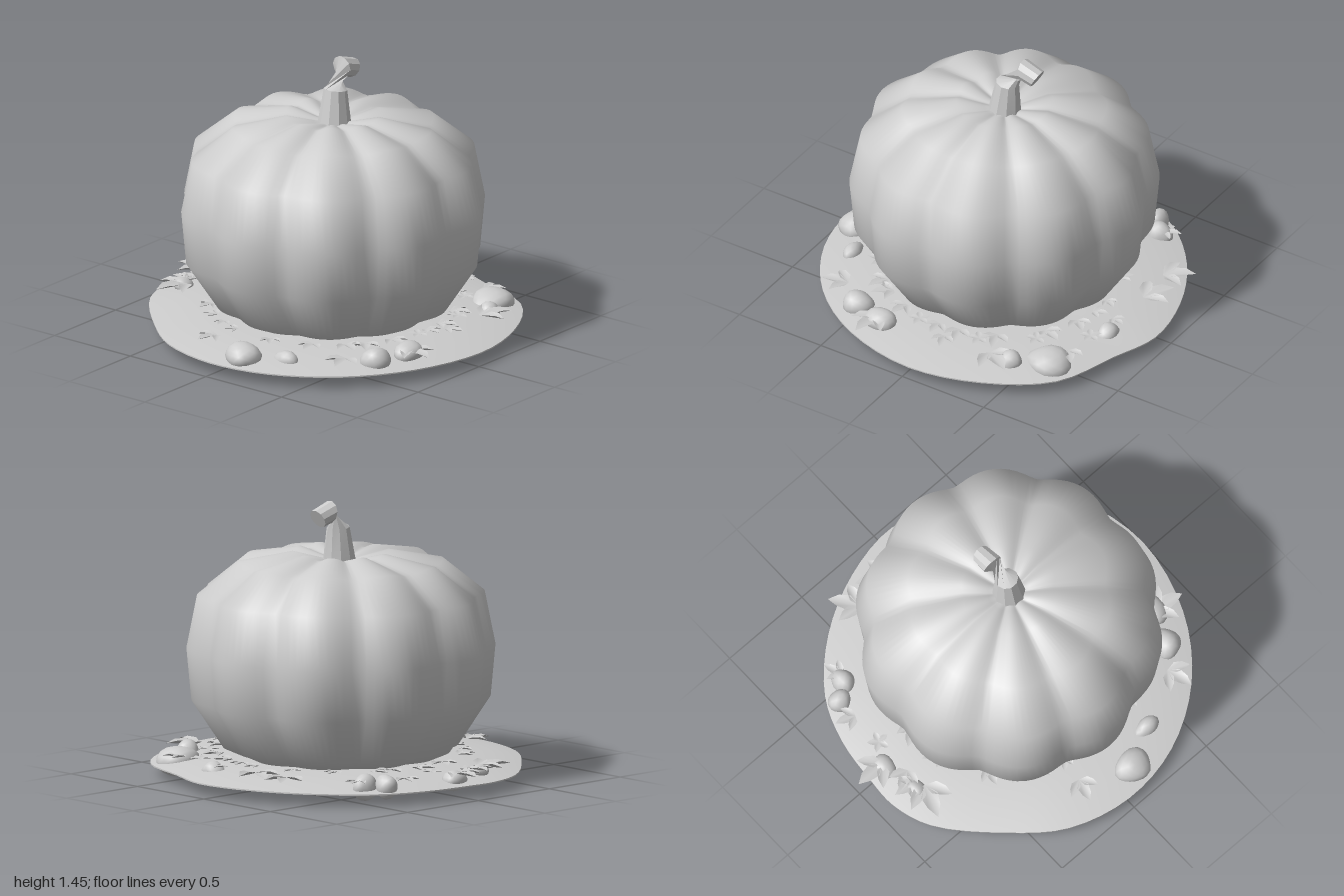
import * as THREE from 'three';
import { mergeVertices, toCreasedNormals } from 'three/addons/utils/BufferGeometryUtils.js';

const V = (x, y, z) => new THREE.Vector3(x, y, z);

// weld a geometry and give it smooth normals
function smooth(geo) {
  geo.deleteAttribute('normal');
  geo.deleteAttribute('uv');
  const g = mergeVertices(geo, 1e-4);
  g.computeVertexNormals();
  return g;
}

// skin closed rings (each running from +z towards +x) stacked upwards
function loft(rings) {
  const n = rings[0].length, pos = [], idx = [];
  rings.forEach((r) => r.forEach((p) => pos.push(p.x, p.y, p.z)));
  for (let j = 0; j < rings.length - 1; j++) {
    for (let i = 0; i < n; i++) {
      const a = j * n + i, b = j * n + (i + 1) % n;
      idx.push(a, b, b + n, a, b + n, a + n);
    }
  }
  const g = new THREE.BufferGeometry();
  g.setAttribute('position', new THREE.Float32BufferAttribute(pos, 3));
  g.setIndex(idx);
  return g;
}

// ribbed body: a coarse profile turned around, pressed in along ten creases
function pumpkinGeometry() {
  const profile = [[0, 0.09], [0.45, 0.09], [0.61, 0.16], [0.775, 0.41], [0.8, 0.68], [0.745, 0.955],
    [0.53, 1.13], [0.25, 1.18], [0.11, 1.145], [0, 1.12]].map(([r, y]) => new THREE.Vector2(r, y));
  const geo = smooth(new THREE.LatheGeometry(profile, 120));
  const p = geo.attributes.position;
  for (let i = 0; i < p.count; i++) {
    const x = p.getX(i), z = p.getZ(i), y = p.getY(i);
    const crease = 1 - Math.sqrt(0.03 + 0.97 * Math.cos(5 * Math.atan2(z, x)) ** 2);
    const s = 1 - 0.075 * crease;
    const sink = y > 1 ? 0.03 * crease * Math.min(1, Math.hypot(x, z) / 0.25) : 0;
    p.setXYZ(i, x * s, y - sink, z * s);
  }
  geo.computeVertexNormals();
  return geo;
}

// wavy patch of ground, flat below and slightly domed above
function groundGeometry() {
  const edge = [[0.03, 0.99], [0.42, 0.9], [0.74, 0.68], [0.87, 0.34], [0.955, 0.08], [0.9, -0.24],
    [0.74, -0.55], [0.5, -0.79], [0.26, -0.89], [0, -0.925], [-0.18, -0.93], [-0.39, -0.86], [-0.68, -0.6],
    [-0.88, -0.34], [-0.965, 0], [-0.91, 0.34], [-0.71, 0.66], [-0.39, 0.89]];
  const curve = new THREE.CatmullRomCurve3(edge.map(([x, z]) => V(x, 0, z)), true);
  const outline = curve.getPoints(72).slice(0, -1);
  const ring = (s, y) => outline.map((p) => V(p.x * s, y, 0.03 + (p.z - 0.03) * s));
  return toCreasedNormals(loft([ring(0, 0.065), ring(1, 0.065), ring(1, 0.072), ring(0.85, 0.1),
    ring(0.6, 0.12), ring(0, 0.125)]), 0.6);
}

// bent, twisted stalk with a cut end
function stemGeometry() {
  const ring = (c, r, dir, twist) => {
    const q = new THREE.Quaternion().setFromUnitVectors(V(0, 1, 0), dir.normalize());
    return Array.from({ length: 10 }, (_, i) => {
      const a = twist + i * Math.PI / 5;
      return V(Math.sin(a) * r, 0, Math.cos(a) * r).applyQuaternion(q).add(c);
    });
  };
  const tip = V(0.186, 1.368, 0.01), tipDir = V(0.88, -0.45, 0);
  return toCreasedNormals(loft([
    ring(V(0.005, 1.1, 0.04), 0.09, V(0.1, 1, 0), 0),
    ring(V(0.02, 1.3, 0.035), 0.061, V(0.15, 1, 0), 0),
    ring(V(0.102, 1.395, 0.01), 0.058, V(0.95, 0.1, 0), 2),
    ring(tip, 0.052, tipDir, 2),
    ring(tip, 0, tipDir, 2),
  ]), 0.5);
}

// lumpy pebble of unit size
function rockGeometry(seed) {
  const geo = smooth(new THREE.IcosahedronGeometry(1, 2));
  const p = geo.attributes.position;
  for (let i = 0; i < p.count; i++) {
    const x = p.getX(i), y = p.getY(i), z = p.getZ(i);
    const s = 1 + 0.1 * Math.sin(2.6 * x + seed) + 0.09 * Math.sin(3.1 * z + seed * 2) * Math.cos(2 * y + seed);
    p.setXYZ(i, x * s, y * s, z * s);
  }
  geo.computeVertexNormals();
  return geo;
}

// a fan of pointed blades, each folded along its middle
function leafGeometry(blades, spread, width) {
  const pos = [], idx = [];
  for (let b = 0; b < blades; b++) {
    const a = (b - (blades - 1) / 2) * spread;
    const len = blades === 3 && b !== 1 ? 0.8 : 1;
    const put = (u, w, y) => pos.push((Math.sin(a) * u + Math.cos(a) * w) * len, y, (Math.cos(a) * u - Math.sin(a) * w) * len);
    const k = b * 6;
    put(0, 0, 0); put(0.35, width, 0.1); put(0.7, width * 0.75, 0.12); put(1, 0, 0.02);
    put(0.7, -width * 0.75, 0.12); put(0.35, -width, 0.1);
    idx.push(k, k + 1, k + 2, k, k + 2, k + 3, k, k + 3, k + 4, k, k + 4, k + 5);
  }
  const g = new THREE.BufferGeometry();
  g.setAttribute('position', new THREE.Float32BufferAttribute(pos, 3));
  g.setIndex(idx);
  g.computeVertexNormals();
  return g;
}

export function createModel() {
  const model = new THREE.Group();
  const clay = new THREE.MeshStandardMaterial({ color: 0xcccccc, side: THREE.DoubleSide });
  clay.name = 'light grey';
  const add = (name, geo, parent = model) => {
    const m = new THREE.Mesh(geo, clay);
    m.name = name;
    parent.add(m);
    return m;
  };

  add('pumpkin', pumpkinGeometry()).position.z = 0.035;
  add('stem', stemGeometry());
  add('ground', groundGeometry());

  // pebbles half sunk in the ground: x, z, centre height, x/y/z radius
  const rocks = new THREE.Group();
  rocks.name = 'rocks';
  model.add(rocks);
  [[-0.86, 0.12, 0.1, 0.085, 0.075, 0.1], [-0.74, 0.32, 0.09, 0.05, 0.05, 0.07], [-0.46, 0.7, 0.1, 0.085, 0.07, 0.075],
    [-0.29, 0.77, 0.11, 0.085, 0.065, 0.07], [0.62, 0.58, 0.085, 0.125, 0.075, 0.11], [0.47, 0.69, 0.1, 0.06, 0.055, 0.06],
    [0.75, 0.2, 0.09, 0.05, 0.055, 0.07], [0, -0.83, 0.09, 0.07, 0.055, 0.055], [0.42, -0.76, 0.1, 0.06, 0.06, 0.06],
    [0.5, -0.67, 0.09, 0.07, 0.07, 0.06], [-0.2, -0.79, 0.105, 0.05, 0.04, 0.05],
  ].forEach(([x, z, y, rx, ry, rz], i) => {
    const m = add('rock', rockGeometry(i * 1.7), rocks);
    m.position.set(x, y, z);
    m.scale.set(rx, ry, rz);
  });

  // leaves lying around the pumpkin: x, z of the base, heading in degrees, length
  const leaves = new THREE.Group();
  leaves.name = 'leaves';
  model.add(leaves);
  const leaf = leafGeometry(3, 0.85, 0.24);
  [[-0.73, -0.14, -105, 0.13], [0.73, -0.34, 125, 0.17], [0.75, -0.12, 150, 0.18], [-0.59, 0.6, -75, 0.15],
    [-0.3, 0.77, -10, 0.17], [-0.22, -0.75, -110, 0.19], [-0.18, -0.78, 170, 0.12], [0.01, -0.83, 180, 0.17],
    [0.3, -0.76, 160, 0.11], [0.52, -0.66, 110, 0.1], [0.35, 0.72, 60, 0.18], [0.08, 0.72, 15, 0.1],
    [0.68, 0.48, 40, 0.12], [0.72, 0.12, 75, 0.08], [-0.1, -0.76, -150, 0.13],
  ].forEach(([x, z, deg, s]) => {
    const m = add('leaf', leaf, leaves);
    m.position.set(x, 0.125, z);
    m.rotation.y = THREE.MathUtils.degToRad(deg);
    m.scale.setScalar(s);
  });

  // small leaves tucked under the overhang of the pumpkin
  for (let i = 0; i < 22; i++) {
    const a = i * Math.PI / 11 + 0.1 * Math.sin(i * 5);
    const m = add('tuckedLeaf', leaf, leaves);
    m.position.set(Math.sin(a) * 0.61, 0.128, 0.035 + Math.cos(a) * 0.61);
    m.rotation.y = a + 0.7 * Math.sin(i * 3);
    m.scale.setScalar(0.1 + 0.025 * Math.sin(i * 7));
  }

  // little five-petalled flowers
  const flower = leafGeometry(5, Math.PI * 0.4, 0.3);
  [[0.11, -0.77], [0.72, 0.33], [0.5, 0.5], [-0.1, 0.68], [0.25, 0.66]].forEach(([x, z]) => {
    const m = add('flower', flower, leaves);
    m.position.set(x, 0.14, z);
    m.scale.setScalar(0.06);
  });

  return model;
}
